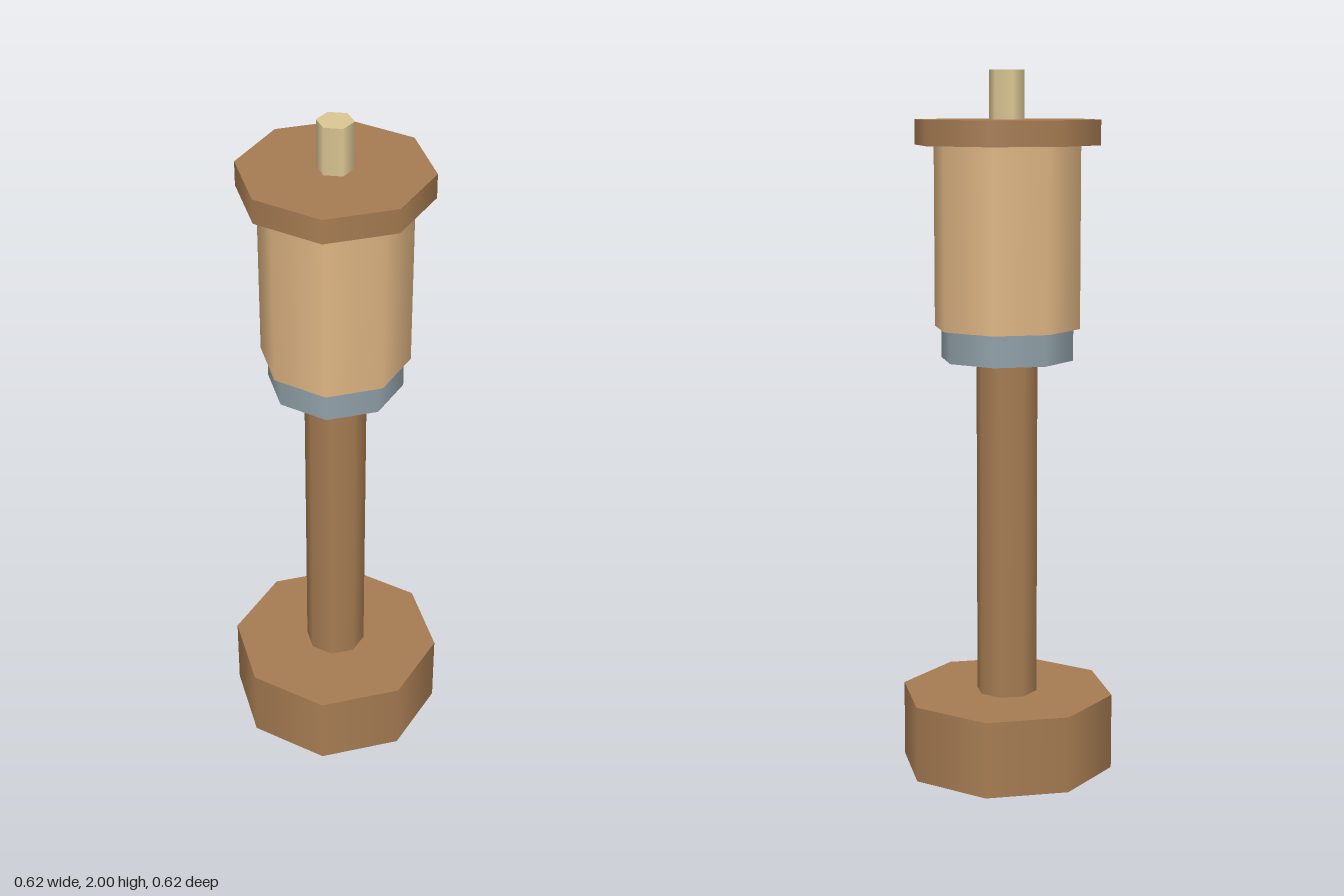
import * as THREE from 'three';

const material = (name, color) => {
  const m = new THREE.MeshStandardMaterial({ color });
  m.name = name;
  return m;
};

export function createModel() {
  const group = new THREE.Group();
  group.name = 'turnedPost';

  const darkWood = material('dark wood', 0xa67c52);
  const lightWood = material('light wood', 0xdeb583);
  const steel = material('blue grey steel', 0x90a0a8);
  const cream = material('cream', 0xdcc694);

  // Smooth-sided prism standing between two heights, with a corner on the x axis
  const prism = (name, radius, bottom, top, sides, mat) => {
    const geometry = new THREE.CylinderGeometry(radius, radius, top - bottom, sides);
    geometry.rotateY(Math.PI / 2);
    const mesh = new THREE.Mesh(geometry, mat);
    mesh.name = name;
    mesh.position.y = (bottom + top) / 2;
    group.add(mesh);
  };

  // Stacked from the ground up
  prism('base', 0.309, 0, 0.22, 8, darkWood);
  prism('stem', 0.088, 0.22, 1.195, 8, darkWood);
  prism('collar', 0.19, 1.195, 1.285, 8, steel);
  prism('barrel', 0.209, 1.285, 1.795, 8, lightWood);
  prism('capFlange', 0.264, 1.795, 1.865, 8, darkWood);
  prism('topPin', 0.05, 1.865, 2, 6, cream);

  return group;
}
